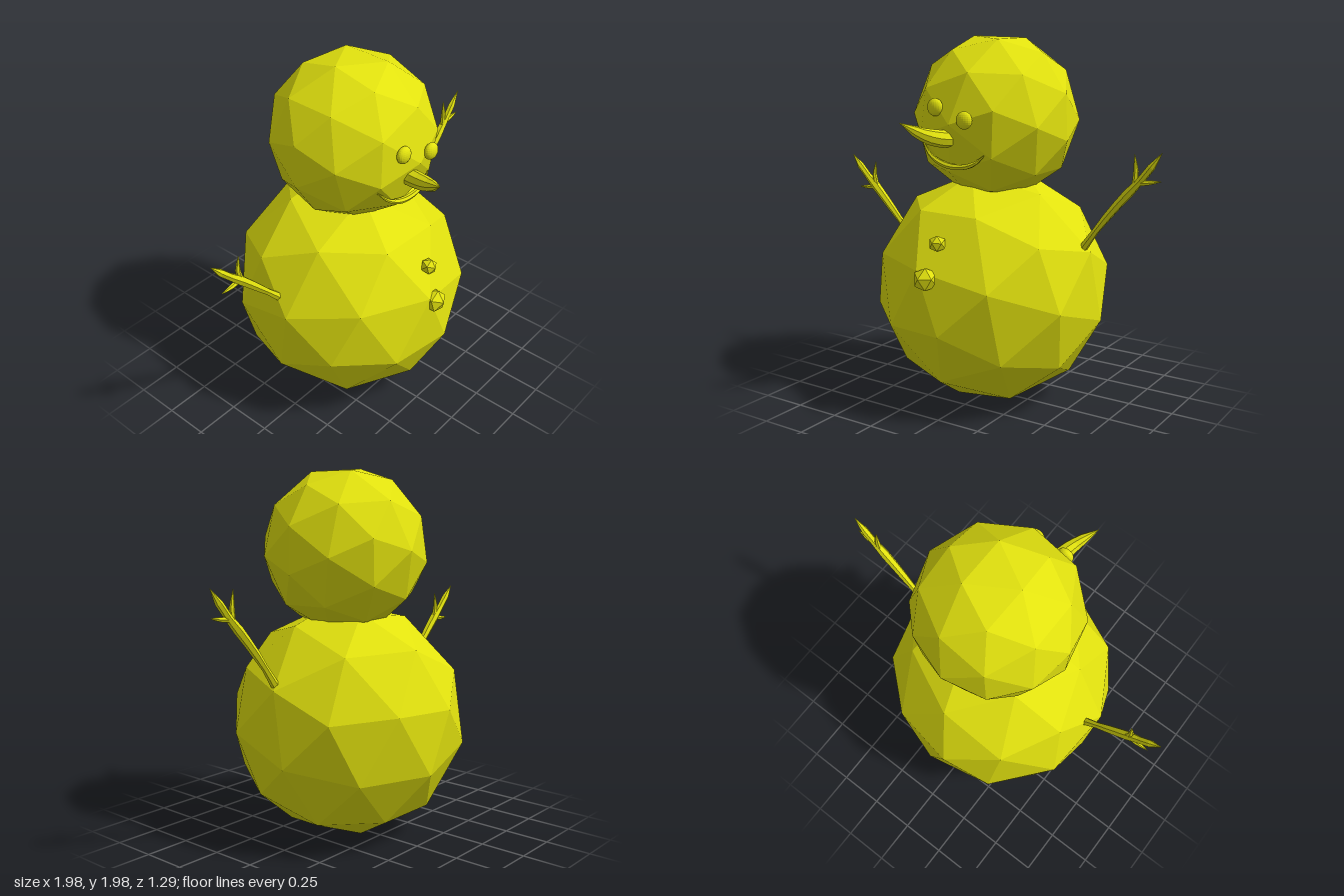
import * as THREE from 'three';

const V = (x, y, z) => new THREE.Vector3(x, y, z);

// Rotation that puts icosahedron corner p on its +y axis and corner q in its xy plane
function cornerBasis(p, q) {
  const y = p.clone().normalize();
  const x = q.clone().addScaledVector(y, -q.dot(y)).normalize();
  return new THREE.Matrix4().makeBasis(x, y, x.clone().cross(y));
}

export function createModel() {
  const group = new THREE.Group();
  const yellow = new THREE.MeshStandardMaterial({ color: 0xe2e20e });
  yellow.name = 'yellow';
  yellow.flatShading = true;
  const smoothYellow = yellow;

  function add(name, geometry, parent = group) {
    const mesh = new THREE.Mesh(geometry, smoothYellow);
    mesh.name = name;
    parent.add(mesh);
    return mesh;
  }

  // Faceted snowball with two neighbouring icosahedron corners aimed along p and q
  const t = (1 + Math.sqrt(5)) / 2;
  const fromBase = cornerBasis(V(1, t, 0), V(-1, t, 0)).invert();
  function ball(name, r, center, p, q) {
    const geo = new THREE.IcosahedronGeometry(r, 1);
    geo.applyMatrix4(cornerBasis(p, q).multiply(fromBase));
    add(name, geo).position.copy(center);
  }

  // Tube along a curve whose radius follows a list of evenly spaced values
  function taper(name, points, radii, sides, steps, parent) {
    const curve = new THREE.CatmullRomCurve3(points.map((p) => V(...p)));
    const geo = new THREE.TubeGeometry(curve, steps, 1, sides);
    const pos = geo.attributes.position;
    const v = V(0, 0, 0);
    for (let i = 0; i < pos.count; i++) {
      const u = Math.floor(i / (sides + 1)) / steps;
      const f = u * (radii.length - 1);
      const k = Math.min(Math.floor(f), radii.length - 2);
      const r = THREE.MathUtils.lerp(radii[k], radii[k + 1], f - k);
      const c = curve.getPointAt(u);
      v.fromBufferAttribute(pos, i).sub(c).multiplyScalar(r).add(c);
      pos.setXYZ(i, v.x, v.y, v.z);
    }
    geo.computeVertexNormals();
    return add(name, geo, parent);
  }

  // Body and head
  ball('body', 0.645, V(0.007, 0.64, -0.02), V(-0.11, 0.2, -0.97), V(0.83, 0.17, -0.51));
  ball('head', 0.445, V(0.03, 1.57, -0.02), V(0.97, -0.24, 0), V(0.64, 0.77, 0.02));

  // Eyes, flattened against the face
  for (const [name, x, y, z] of [['rightEye', -0.073, 1.642, 0.395], ['leftEye', 0.12, 1.587, 0.418]]) {
    const eye = add(name, new THREE.SphereGeometry(0.045, 20, 14));
    eye.scale.z = 0.65;
    eye.position.set(x, y, z);
  }

  // Curved carrot nose
  taper('nose',
    [[0, 1.485, 0.33], [-0.012, 1.488, 0.42], [-0.045, 1.515, 0.53], [-0.108, 1.58, 0.64]],
    [0.046, 0.045, 0.04, 0.027, 0.001], 8, 8);

  // Smile, thin at both ends
  taper('mouth',
    [[-0.2, 1.46, 0.335], [-0.13, 1.39, 0.358], [-0.03, 1.347, 0.365], [0.08, 1.345, 0.368], [0.15, 1.37, 0.365], [0.195, 1.41, 0.352]],
    [0.003, 0.01, 0.016, 0.016, 0.014, 0.003], 6, 16);

  // Coal buttons
  for (const [name, r, x, y, z] of [['upperButton', 0.046, 0.02, 0.97, 0.515], ['lowerButton', 0.067, -0.008, 0.795, 0.58]]) {
    const button = add(name, new THREE.IcosahedronGeometry(r, 0));
    button.position.set(x, y, z);
    button.rotation.set(0.3, 0.2, 0.4);
  }

  // Twig arms: a main branch with two short twigs
  const arms = {
    rightArm: {
      branch: [[-0.53, 0.81], [-0.68, 0.97], [-0.82, 1.115], [-0.9, 1.19], [-0.99, 1.29]],
      upperTwig: [[-0.8, 1.1], [-0.825, 1.16], [-0.815, 1.26]],
      lowerTwig: [[-0.81, 1.12], [-0.86, 1.105], [-0.94, 1.1]],
    },
    leftArm: {
      branch: [[0.53, 0.86], [0.65, 1.03], [0.78, 1.19], [0.88, 1.3], [0.985, 1.44]],
      upperTwig: [[0.84, 1.25], [0.85, 1.32], [0.84, 1.425]],
      lowerTwig: [[0.85, 1.28], [0.9, 1.285], [0.985, 1.298]],
    },
  };
  for (const [name, parts] of Object.entries(arms)) {
    const arm = new THREE.Group();
    arm.name = name;
    group.add(arm);
    for (const [part, pts] of Object.entries(parts)) {
      const radii = part === 'branch'
        ? [0.024, 0.022, 0.018, 0.022, 0.024, 0.026, 0.02, 0.02, 0.001]
        : [0.012, 0.016, 0.011, 0.001];
      taper(part, pts.map(([x, y]) => [x, y, -0.017]), radii, 6, part === 'branch' ? 8 : 4, arm);
    }
  }
  return group;
}
